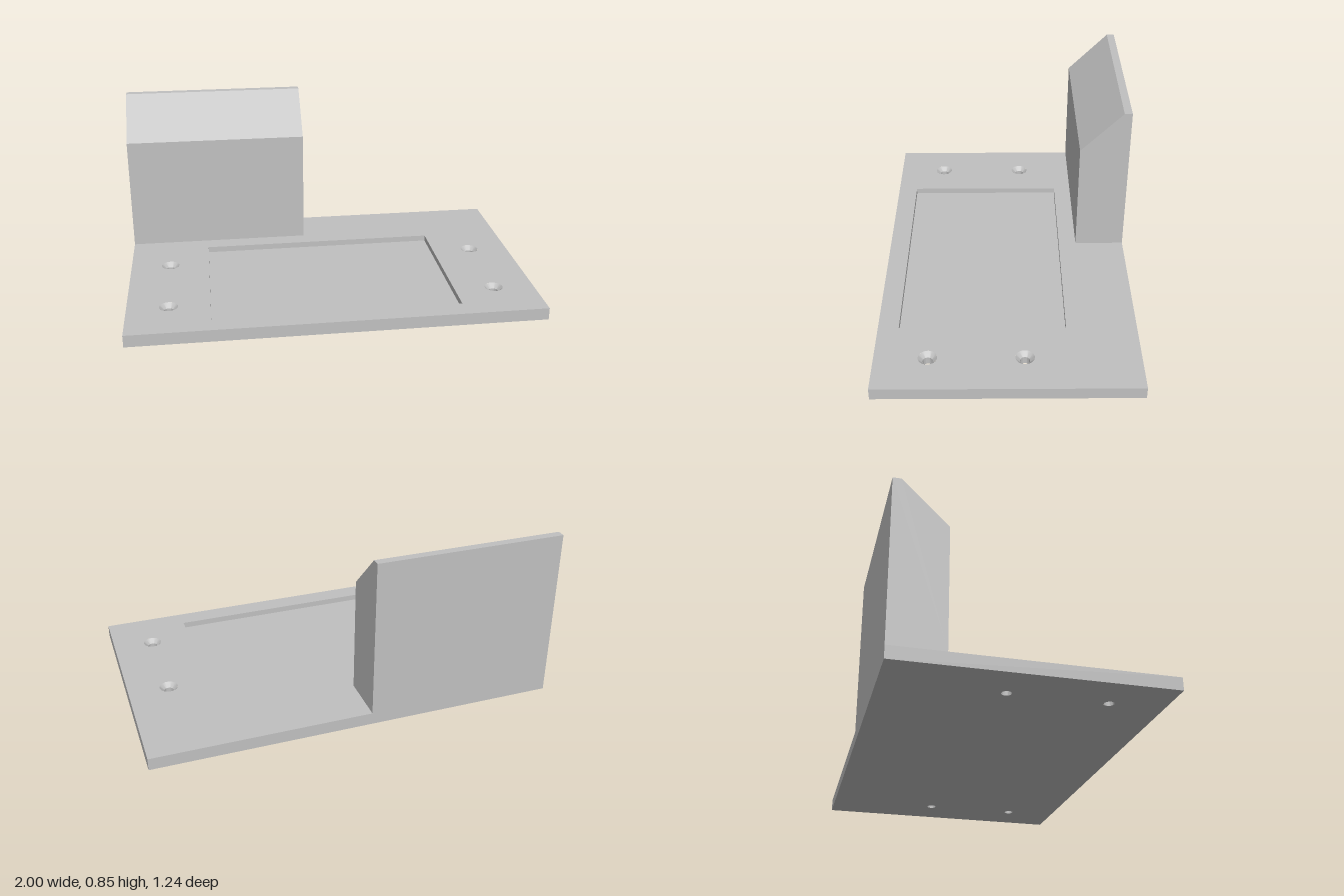
import * as THREE from 'three';
import { toCreasedNormals } from 'three/addons/utils/BufferGeometryUtils.js';

const PLATE = { x0: -1, x1: 1, z0: -0.62, z1: 0.62 };
const POCKET = { x0: -0.6, x1: 0.6, z0: -0.28, z1: 0.52 };
const TOP = 0.06, FLOOR = 0.03;
const HOLE_R = 0.023, SINK_R = 0.045, SINK_Y = 0.038, SEGMENTS = 32;
const HOLES = [];
for (const x of [-0.8, 0.8]) for (const z of [-0.08, 0.37]) HOLES.push([x, z]);

const corners = (r) => [[r.x0, r.z1], [r.x1, r.z1], [r.x1, r.z0], [r.x0, r.z0]];

// Flat horizontal rectangle with optional pocket cut-out and round holes
function sheet(rect, y, up, holeRadius = 0, cutout = null) {
  const s = up ? -1 : 1;
  const points = (r) => corners(r).map(([x, z]) => new THREE.Vector2(x, s * z));
  const shape = new THREE.Shape(points(rect));
  if (cutout) shape.holes.push(new THREE.Path(points(cutout)));
  if (holeRadius) {
    for (const [x, z] of HOLES) {
      shape.holes.push(new THREE.Path().absarc(x, s * z, holeRadius, 0, Math.PI * 2, true));
    }
  }
  return new THREE.ShapeGeometry(shape, SEGMENTS).rotateX(s * Math.PI / 2).translate(0, y, 0);
}

// Four upright walls round a rectangle, facing outward or inward
function walls(rect, y0, y1, inward = false) {
  const c = corners(rect);
  if (inward) c.reverse();
  const pos = [];
  c.forEach(([ax, az], i) => {
    const [bx, bz] = c[(i + 1) % 4];
    pos.push(ax, y0, az, bx, y0, bz, bx, y1, bz);
    pos.push(ax, y0, az, bx, y1, bz, ax, y1, az);
  });
  const g = new THREE.BufferGeometry();
  g.setAttribute('position', new THREE.Float32BufferAttribute(pos, 3));
  g.computeVertexNormals();
  return g;
}

export function createModel() {
  const model = new THREE.Group();
  model.name = 'mountingBracket';
  const grey = new THREE.MeshStandardMaterial({ color: 0xc0c0c0 });
  grey.name = 'plainGrey';

  const add = (parent, name, geometry) => {
    const mesh = new THREE.Mesh(geometry, grey);
    mesh.name = name;
    parent.add(mesh);
    return mesh;
  };

  // Base plate with a shallow rectangular pocket
  const plate = new THREE.Group();
  plate.name = 'basePlate';
  model.add(plate);
  add(plate, 'plateTop', sheet(PLATE, TOP, true, SINK_R, POCKET));
  add(plate, 'plateUnderside', sheet(PLATE, 0, false, HOLE_R));
  add(plate, 'plateEdges', walls(PLATE, 0, TOP));
  add(plate, 'pocketWalls', walls(POCKET, FLOOR, TOP, true));
  add(plate, 'pocketFloor', sheet(POCKET, FLOOR, true));

  // Countersunk screw holes; the profile runs downward so the faces look inward
  const bore = toCreasedNormals(new THREE.LatheGeometry([
    new THREE.Vector2(SINK_R, TOP),
    new THREE.Vector2(HOLE_R, SINK_Y),
    new THREE.Vector2(HOLE_R, 0),
  ], SEGMENTS), 0.5);
  for (const [x, z] of HOLES) add(plate, 'screwHole', bore).position.set(x, 0, z);

  // Upright block with a sloped front shoulder, profile drawn as (-z, y)
  const profile = new THREE.Shape([
    [0.37, TOP], [0.62, TOP], [0.62, 0.85], [0.58, 0.85], [0.37, 0.64],
  ].map(([a, b]) => new THREE.Vector2(a, b)));
  const block = new THREE.ExtrudeGeometry(profile, { depth: 0.93, bevelEnabled: false });
  add(model, 'uprightBlock', block.rotateY(Math.PI / 2).translate(-1, 0, 0));

  return model;
}
